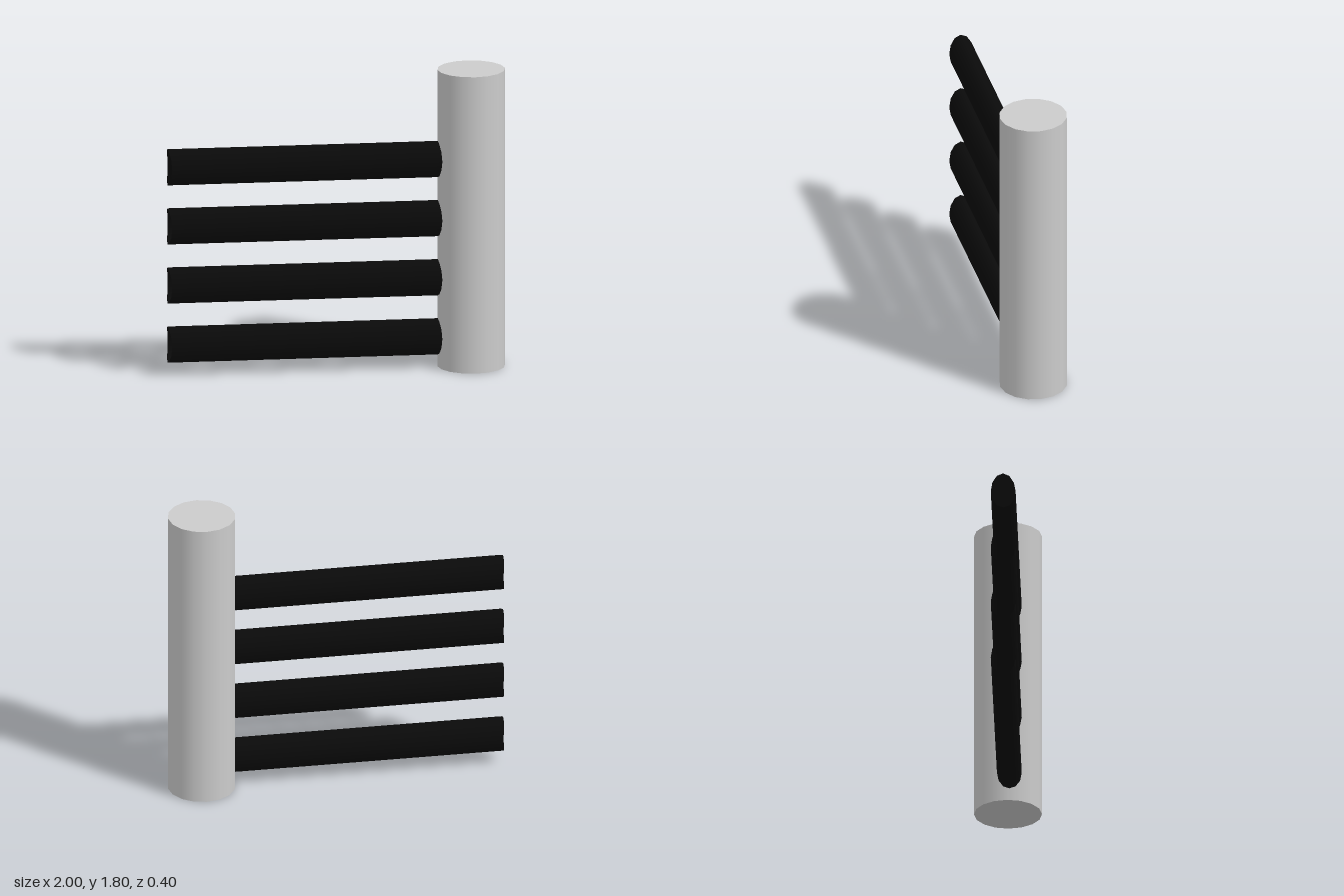
import * as THREE from 'three';

const POST_X = 0.8, POST_R = 0.2, POST_H = 1.8, SPAN = 1.6;

// Oval rail whose ends follow the curve of the post
function railGeometry(openEnded) {
  const geo = new THREE.CylinderGeometry(1, 1, 1, 12, 1, openEnded);
  geo.rotateZ(Math.PI / 2);
  geo.scale(1, 0.11, 0.073);
  geo.translate(0, 0, 0.012);
  const p = geo.attributes.position;
  for (let i = 0; i < p.count; i++) {
    const z = p.getZ(i);
    const surface = POST_X - Math.sqrt(POST_R * POST_R - z * z);
    p.setX(i, p.getX(i) > 0 ? surface : surface - SPAN);
  }
  geo.computeBoundingSphere();
  // scaled normals stay smooth around the oval
  return geo;
}

export function createModel() {
  const model = new THREE.Group();

  // Upright post
  const post = new THREE.Mesh(
    new THREE.CylinderGeometry(POST_R, POST_R, POST_H, 16),
    new THREE.MeshStandardMaterial({ color: 0xcccccc })
  );
  post.name = 'post';
  post.position.set(POST_X, POST_H / 2, 0);
  model.add(post);

  // Four horizontal rails: the lower three are open tubes, the top one is capped
  const railMaterial = new THREE.MeshStandardMaterial({ color: 0x0a0a0a, side: THREE.DoubleSide });
  const rails = new THREE.Group();
  rails.name = 'rails';
  for (let i = 0; i < 4; i++) {
    const rail = new THREE.Mesh(railGeometry(i < 3), railMaterial);
    rail.name = `rail${i + 1}`;
    rail.position.y = 0.185 + i * 0.359;
    rails.add(rail);
  }
  model.add(rails);
  return model;
}
